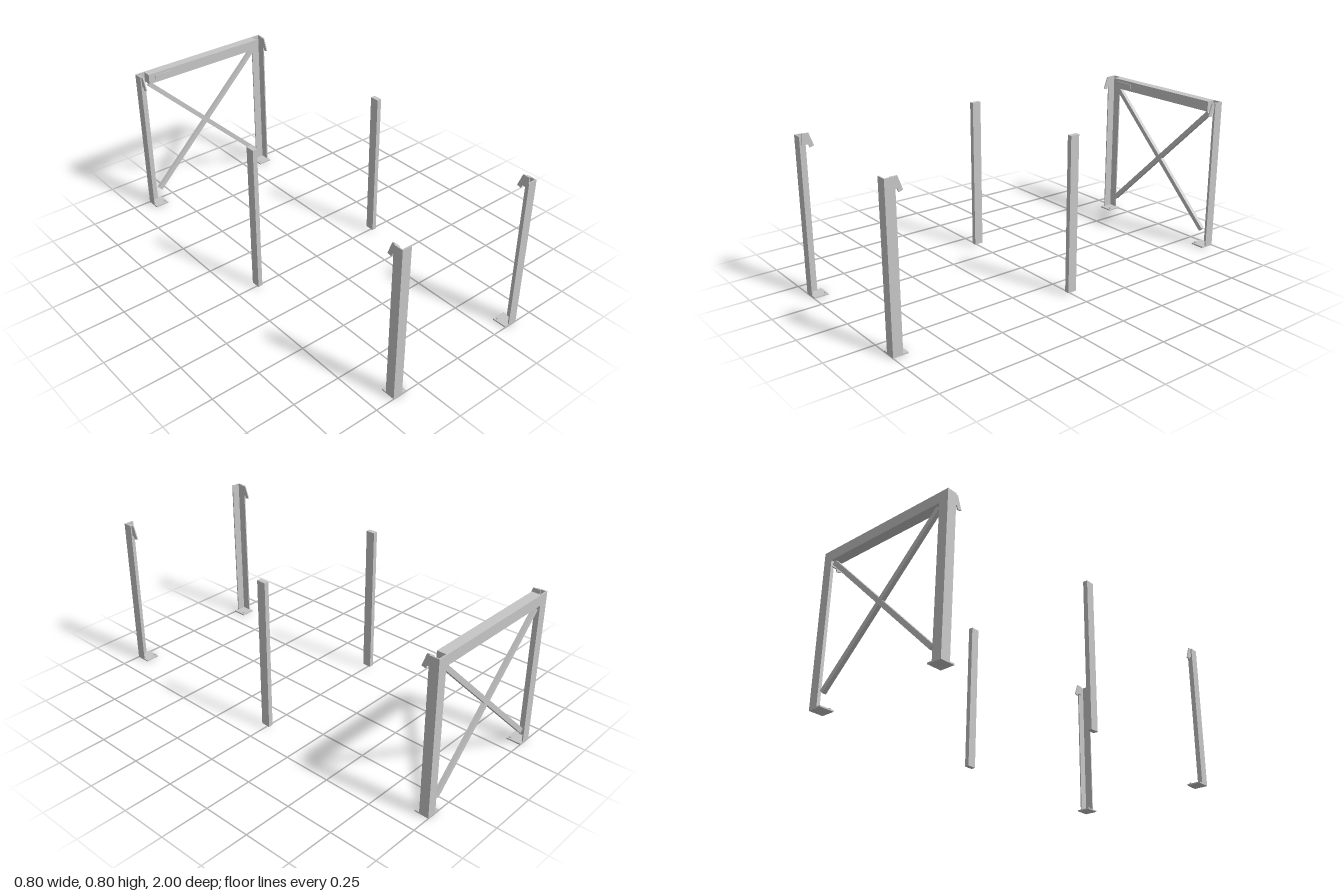
import * as THREE from 'three';

export function createModel() {
  const model = new THREE.Group();
  model.name = 'steelFrame';
  const steel = new THREE.MeshStandardMaterial({ color: 0xc6c6c6 });
  steel.name = 'light grey steel';

  const add = (parent, name, geometry) => {
    const mesh = new THREE.Mesh(geometry, steel);
    mesh.name = name;
    parent.add(mesh);
    return mesh;
  };
  // Box given by its two opposite corners
  const box = (parent, name, a, b) => {
    const size = a.map((v, i) => Math.abs(b[i] - v));
    const mesh = add(parent, name, new THREE.BoxGeometry(...size));
    mesh.position.set(...a.map((v, i) => (v + b[i]) / 2));
    return mesh;
  };
  const extrude = (points, depth) => {
    const shape = new THREE.Shape(points.map(([x, y]) => new THREE.Vector2(x, y)));
    return new THREE.ExtrudeGeometry(shape, { depth, bevelEnabled: false });
  };

  const H = 0.797, T = 0.006, PLATE = 0.007;

  // Corner leg: angle section, foot plate, anchor bolt and hook
  const cornerLeg = (name, sx, sz) => {
    const leg = new THREE.Group();
    leg.name = name;
    model.add(leg);

    const angle = [
      [0.4, 1], [0.35, 1], [0.35, 1 - T], [0.4 - T, 1 - T], [0.4 - T, 0.95], [0.4, 0.95],
    ].map(([x, z]) => [x * sx, -z * sz]);
    const post = add(leg, 'anglePost', extrude(angle, H - PLATE));
    post.rotation.x = -Math.PI / 2;
    post.position.y = PLATE;

    box(leg, 'footPlate', [0.325 * sx, 0, 0.925 * sz], [0.4 * sx, PLATE, sz]);

    const bolt = add(leg, 'anchorBolt', new THREE.CylinderGeometry(0.0035, 0.0035, 0.005, 10));
    bolt.position.set(0.337 * sx, PLATE + 0.0025, 0.938 * sz);
    const nut = add(leg, 'anchorNut', new THREE.CylinderGeometry(0.006, 0.006, 0.004, 6));
    nut.position.set(0.337 * sx, PLATE + 0.006, 0.938 * sz);

    // Hook plate lies against the inside of the side flange
    const hook = [
      [0.97, H], [0.935, H], [0.911, 0.732], [0.932, 0.726], [0.938, 0.742], [0.97, 0.742],
    ].map(([z, y]) => [-z * sz, y]);
    const hookPlate = add(leg, 'hookPlate', extrude(hook, T));
    hookPlate.rotation.y = Math.PI / 2;
    hookPlate.position.x = sx > 0 ? 0.4 - 2 * T : T - 0.4;
  };
  cornerLeg('frontLeftLeg', 1, 1);
  cornerLeg('frontRightLeg', -1, 1);
  cornerLeg('backLeftLeg', 1, -1);
  cornerLeg('backRightLeg', -1, -1);

  // Back top beam with a small label plate
  box(model, 'backBeam', [-0.35, 0.743, -1], [0.35, H, -0.95]);
  box(model, 'labelPlate', [-0.313, 0.757, -0.95], [-0.215, 0.783, -0.946]);

  // Crossed braces below the beam
  const dx = 0.672, dy = 0.655;
  for (const side of [1, -1]) {
    const brace = add(model, 'crossBrace', new THREE.BoxGeometry(Math.hypot(dx, dy), 0.025, 0.02));
    brace.position.set(0, 0.402, -0.984);
    brace.rotation.z = side * Math.atan2(dy, dx);
  }

  // Free standing middle posts
  for (const side of [1, -1]) {
    box(model, side > 0 ? 'middleLeftPost' : 'middleRightPost',
      [side * 0.372, 0.012, -0.024], [side * 0.396, H, 0.024]);
  }
  return model;
}
